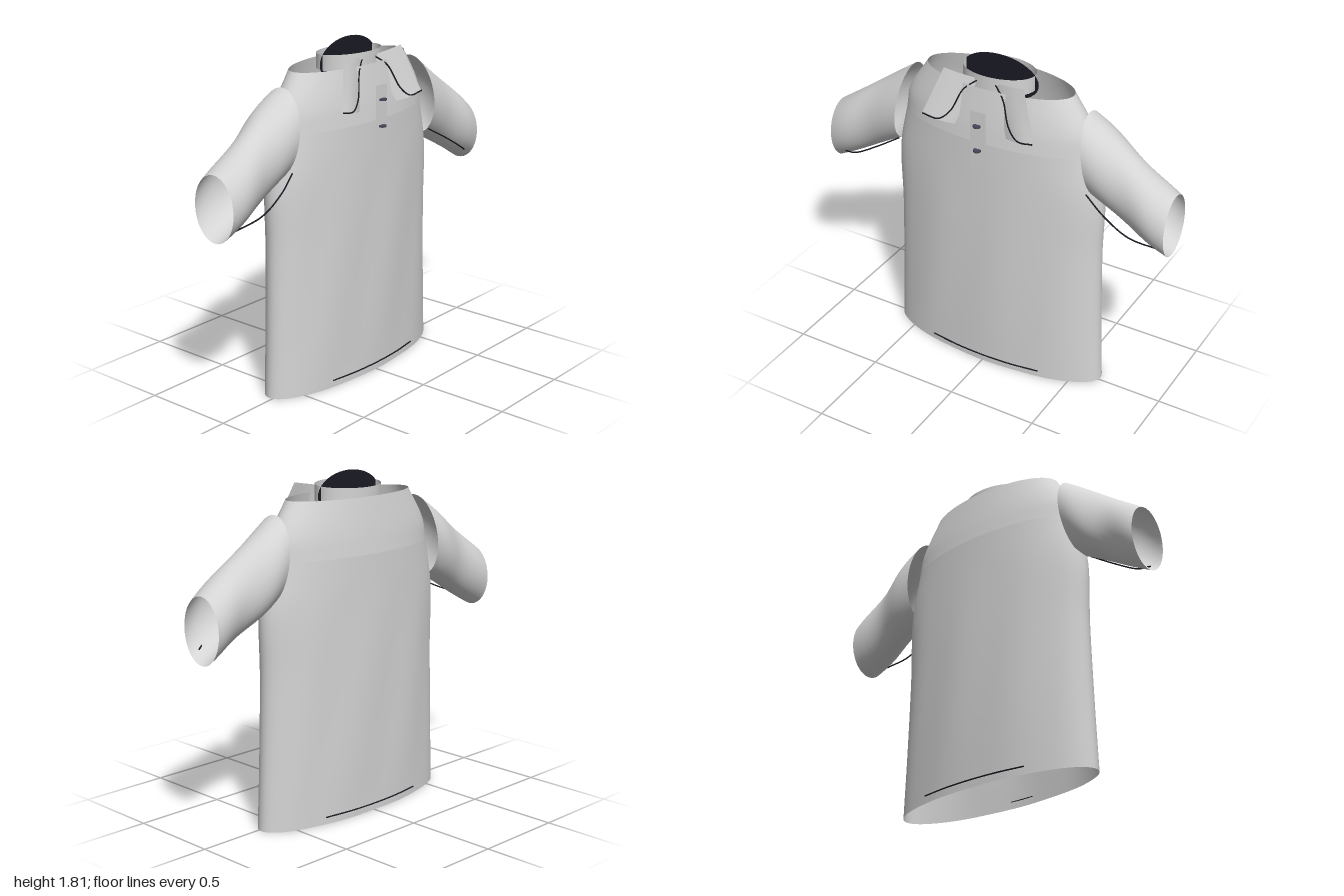
import * as THREE from 'three';

const V = (x, y, z) => new THREE.Vector3(x, y, z);
const material = (name, color) =>
  new THREE.MeshStandardMaterial({ name, color, side: THREE.DoubleSide });

// Open surface through a grid of points; wrap joins the last column to the first
function surface(rows, cols, wrap, point) {
  const pos = [], idx = [];
  const n = wrap ? cols : cols + 1;
  for (let i = 0; i <= rows; i++)
    for (let j = 0; j < n; j++) pos.push(...point(i / rows, j / cols).toArray());
  for (let i = 0; i < rows; i++)
    for (let j = 0; j < cols; j++) {
      const k = (j + 1) % n;
      const a = i * n + j, b = i * n + k, c = a + n, d = b + n;
      idx.push(a, c, b, b, c, d);
    }
  const g = new THREE.BufferGeometry();
  g.setAttribute('position', new THREE.Float32BufferAttribute(pos, 3));
  g.setIndex(idx);
  g.computeVertexNormals();
  return g;
}

// Oval shell following a profile of (half width, height, half depth)
function shell(profile, rows, ripple) {
  const curve = new THREE.CatmullRomCurve3(profile);
  return surface(rows, 80, true, (u, v) => {
    const p = curve.getPoint(u), t = v * Math.PI * 2;
    const fold = 1 + ripple * Math.sin(9 * t + 2.5 * p.y) * Math.sin(Math.PI * Math.min(1, u + 0.15));
    return V(p.x * Math.cos(t), p.y, -0.02 + p.z * fold * Math.sin(t));
  });
}

export function createModel() {
  const shirt = new THREE.Group();
  shirt.name = 'poloShirt';
  const cloth = material('light grey cloth', 0xd4d4d4);
  const dark = material('dark stitching', 0x1a1a24);
  const buttonMat = material('slate button', 0x44485a);

  const add = (name, geometry, mat) => {
    const m = new THREE.Mesh(geometry, mat);
    m.name = name;
    shirt.add(m);
    return m;
  };
  const seam = (name, points) =>
    add(name, new THREE.TubeGeometry(new THREE.CatmullRomCurve3(points), 32, 0.004, 6), dark);

  // Torso and tapering yoke, with a crease between them
  add('torso', shell([
    V(0.64, 0, 0.198), V(0.622, 0.35, 0.205), V(0.607, 0.8, 0.208),
    V(0.607, 1.15, 0.206), V(0.555, 1.4, 0.205),
  ], 28, 0.018), cloth);
  add('yoke', shell([V(0.555, 1.4, 0.205), V(0.535, 1.51, 0.193), V(0.42, 1.69, 0.166)], 8, 0), cloth);

  // Upright collar band, its rim slightly higher at the front
  add('collarBand', surface(2, 48, true, (u, v) => {
    const t = v * Math.PI * 2, z = 0.14 * Math.sin(t);
    return V(0.2 * Math.cos(t), 1.66 + u * (0.082 + 0.06 * z), z - 0.015);
  }), cloth);

  // Dark upright oval inside the neck
  const neck = add('neckInner', new THREE.CircleGeometry(1, 40), dark);
  neck.scale.set(0.222, 0.12, 1);
  neck.position.set(0, 1.69, -0.02);

  // Front placket and its two flat buttons
  const placket = add('placket', new THREE.PlaneGeometry(0.09, 0.345), cloth);
  placket.position.set(0, 1.413, 0.203);
  for (const y of [1.37, 1.51]) {
    const b = add('button', new THREE.CylinderGeometry(0.02, 0.02, 0.01, 16), buttonMat);
    b.position.set(0, y, 0.212);
  }

  for (const s of [1, -1]) {
    const side = s > 0 ? 'left' : 'right';

    // Sleeve with upright end rings, sloping down to the cuff
    add(side + 'Sleeve', surface(16, 40, true, (u, v) => {
      const t = v * Math.PI * 2;
      const h = THREE.MathUtils.lerp(0.225, 0.172, u);
      const d = THREE.MathUtils.lerp(0.145, 0.126, u) + 0.008 * Math.sin(u * 9);
      const lean = 0.035 * (1 - u) * Math.sin(t);
      return V(s * (0.55 + 0.45 * u - lean),
        THREE.MathUtils.lerp(1.405, 1.12, u) + h * Math.sin(t),
        -0.012 - 0.008 * Math.sin(u * 7) + s * d * Math.cos(t));
    }), cloth);
    seam(side + 'SleeveSeam', [
      V(s * 0.56, 1.22, 0.09), V(s * 0.68, 1.15, 0.125),
      V(s * 0.82, 1.07, 0.125), V(s * 0.955, 1.01, 0.06),
    ]);

    // Collar flap, a slightly bowed four-cornered panel
    const outTop = V(s * 0.23, 1.75, 0.145), inTop = V(s * 0.05, 1.72, 0.11);
    const outLow = V(s * 0.325, 1.497, 0.212), inLow = V(s * 0.15, 1.467, 0.18);
    add(side + 'CollarFlap', surface(8, 8, false, (u, v) => {
      const p = outTop.clone().lerp(inTop, v).lerp(outLow.clone().lerp(inLow, v), u);
      p.z += 0.014 * Math.sin(Math.PI * v) * (0.4 + 0.6 * u);
      return p;
    }), cloth);
    seam(side + 'CollarSeam', [
      V(s * 0.05, 1.715, 0.115), V(s * 0.115, 1.66, 0.15), V(s * 0.17, 1.54, 0.19),
      V(s * 0.23, 1.49, 0.21), V(s * 0.32, 1.5, 0.218),
    ]);

    // Hem stitching, front and back
    const z = (x) => -0.02 + s * 0.203 * Math.sqrt(1 - (x / 0.645) ** 2);
    seam(s > 0 ? 'frontHemSeam' : 'backHemSeam',
      [-0.33, -0.17, 0, 0.17, 0.34].map((x) => V(x, 0.04, z(x))));
  }
  return shirt;
}
